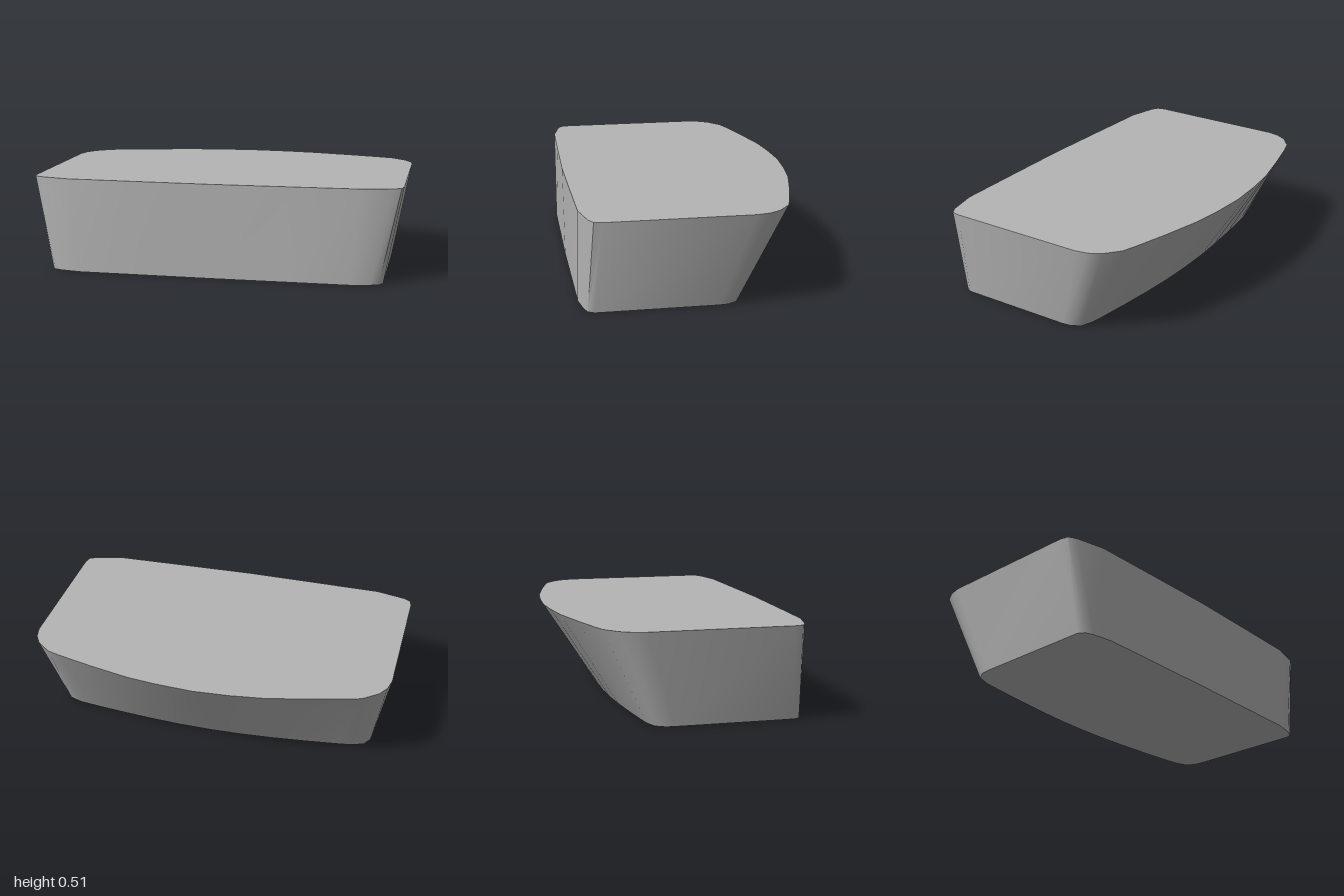
import * as THREE from 'three';
import { toCreasedNormals } from 'three/addons/utils/BufferGeometryUtils.js';

// Half outlines [x, z], from the front centre round the left side to the back centre
const TOP = [
  [0, 0.62], [0.4, 0.613], [0.79, 0.605], [0.95, 0.568], [0.99, 0.545], [1, 0.5],
  [1, -0.27], [0.985, -0.34], [0.95, -0.4], [0.87, -0.465], [0.79, -0.49],
  [0.6, -0.54], [0.37, -0.592], [0.2, -0.613], [0, -0.625],
];
const BOTTOM = [
  [0, 0.615], [0.4, 0.612], [0.73, 0.61], [0.84, 0.59], [0.885, 0.573], [0.905, 0.54],
  [0.905, -0.1], [0.9, -0.15], [0.87, -0.2], [0.8, -0.225], [0.73, -0.235],
  [0.55, -0.256], [0.35, -0.275], [0.18, -0.286], [0, -0.29],
];
const HEIGHT = 0.51;

// Mirror a half outline into a closed ring at height y
function ring(half, y) {
  const mirrored = half.slice(1, -1).reverse().map(([x, z]) => [-x, z]);
  return [...half, ...mirrored].map(([x, z]) => [x, y, z]);
}

function geometryFrom(positions) {
  const geometry = new THREE.BufferGeometry();
  geometry.setAttribute('position', new THREE.Float32BufferAttribute(positions.flat(), 3));
  geometry.computeVertexNormals();
  return geometry;
}

export function createModel() {
  const model = new THREE.Group();
  const grey = new THREE.MeshStandardMaterial({ color: 0xb4b4b4 });
  grey.name = 'light grey';

  const low = ring(BOTTOM, 0);
  const high = ring(TOP, HEIGHT);
  const walls = [], lid = [], base = [];
  low.forEach((a, i) => {
    const j = (i + 1) % low.length;
    walls.push(a, low[j], high[j], a, high[j], high[i]);
    lid.push([0, HEIGHT, 0], high[i], high[j]);
    base.push([0, 0, 0], low[j], a);
  });

  const add = (name, geometry) => {
    const mesh = new THREE.Mesh(geometry, grey);
    mesh.name = name;
    model.add(mesh);
  };
  // Smooth flared walls closed by flat caps
  add('walls', toCreasedNormals(geometryFrom(walls), 0.7));
  add('topFace', geometryFrom(lid));
  add('bottomFace', geometryFrom(base));
  return model;
}
